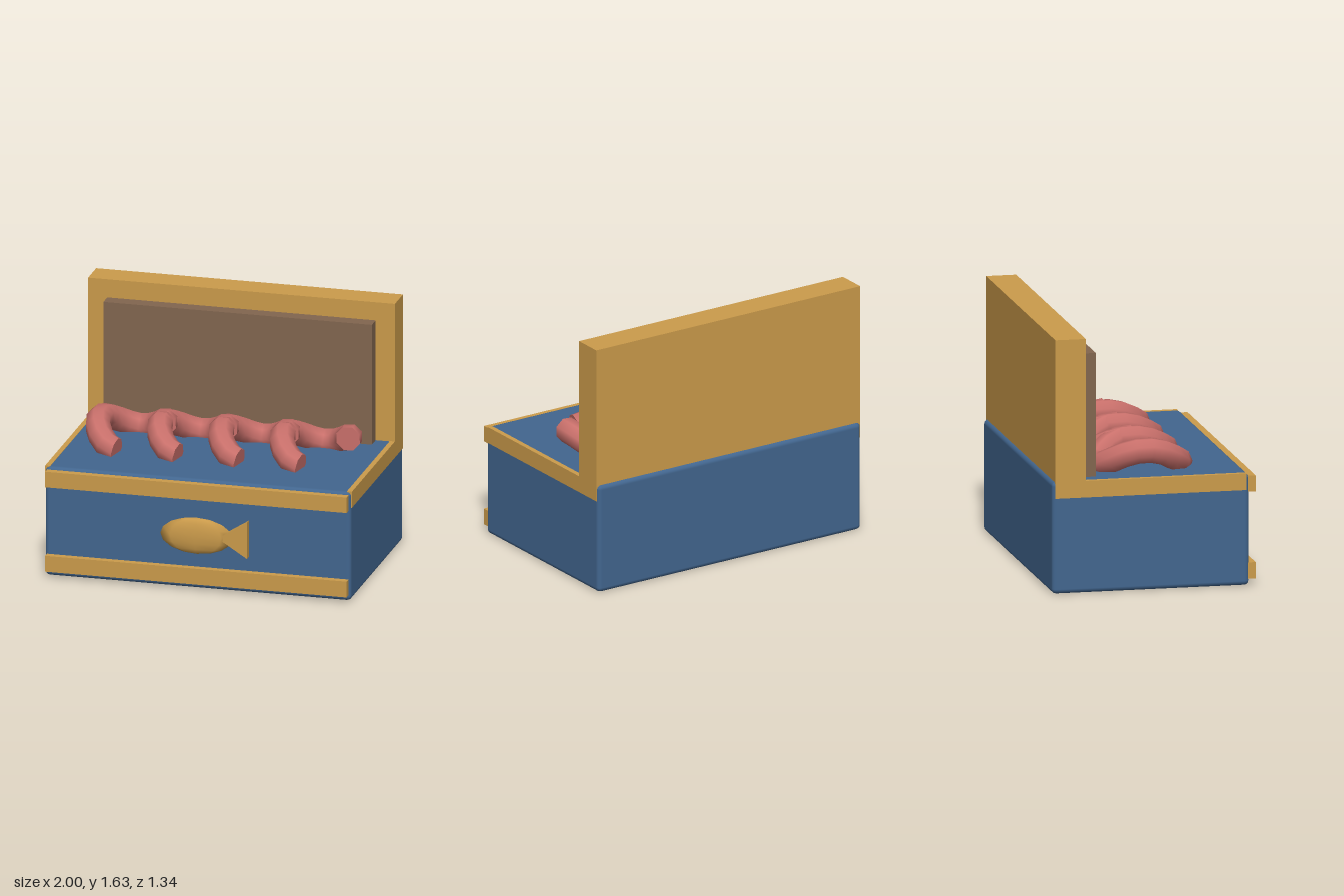
import * as THREE from 'three';
import { RoundedBoxGeometry } from 'three/addons/geometries/RoundedBoxGeometry.js';

const mat = (name, color) => {
  const m = new THREE.MeshStandardMaterial({ color });
  m.name = name;
  return m;
};

// One sausage loop: three quarters of an upright-waved ellipse
class LoopCurve extends THREE.Curve {
  getPoint(u, target = new THREE.Vector3()) {
    const t = THREE.MathUtils.degToRad(8 + u * 262);
    const s = Math.sin(t);
    return target.set(-0.21 * s, 0.74 + 0.12 * s * s, -0.035 + 0.265 * Math.cos(t));
  }
}

export function createModel() {
  const model = new THREE.Group();
  const blue = mat('blue', 0x42668f);
  const gold = mat('gold', 0xcb9b4b);
  const brown = mat('brown', 0x82664f);
  const pink = mat('pink', 0xc9706b);

  const add = (name, geometry, material, parent = model) => {
    const mesh = new THREE.Mesh(geometry, material);
    mesh.name = name;
    parent.add(mesh);
    return mesh;
  };
  // Box given by its limits on each axis
  const block = (name, x0, x1, y0, y1, z0, z1, material) => {
    const mesh = add(name, new THREE.BoxGeometry(x1 - x0, y1 - y0, z1 - z0), material);
    mesh.position.set((x0 + x1) / 2, (y0 + y1) / 2, (z0 + z1) / 2);
    return mesh;
  };

  // Chest body with softened edges
  const body = add('chestBody', new RoundedBoxGeometry(1.994, 0.72, 1.27, 2, 0.03), blue);
  body.position.set(0, 0.36, -0.04);

  // Open lid and its lining
  block('lid', -1, 1, 0.615, 1.635, -0.655, -0.46, gold);
  block('lidLining', -0.875, 0.875, 0.7, 1.515, -0.46, -0.367, brown);

  // Trim along the front and both sides
  block('upperFrontTrim', -0.983, 0.983, 0.6, 0.703, 0.585, 0.64, gold);
  block('lowerFrontTrim', -0.983, 0.983, 0.04, 0.145, 0.585, 0.64, gold);
  for (const side of [-1, 1]) {
    const inner = side * 0.967;
    block('sideTrim', Math.min(inner, side), Math.max(inner, side), 0.615, 0.722, -0.46, 0.575, gold);

    // Hinge barrels at the foot of the lid
    const hinge = add('hinge', new THREE.CylinderGeometry(0.08, 0.08, 0.24, 12), gold);
    hinge.rotation.z = Math.PI / 2;
    hinge.position.set(side * 0.42, 0.68, -0.36);
  }

  // Chain of sausage loops with closed ends
  const curve = new LoopCurve();
  const tube = new THREE.TubeGeometry(curve, 14, 0.082, 8, false);
  const frames = curve.computeFrenetFrames(14, false);
  for (let i = 0; i < 4; i++) {
    const loop = new THREE.Group();
    loop.name = 'sausageLoop';
    loop.position.x = -0.6 + 0.4 * i;
    model.add(loop);
    add('sausage', tube, pink, loop);
    for (const end of [0, 1]) {
      // Fan cap following the tube's own end ring
      const centre = curve.getPointAt(end);
      const ring = [];
      const k = end * 14;
      for (let j = 0; j <= 8; j++) {
        const a = (j / 8) * Math.PI * 2;
        ring.push(centre.clone()
          .addScaledVector(frames.normals[k], -Math.cos(a) * 0.082)
          .addScaledVector(frames.binormals[k], Math.sin(a) * 0.082));
      }
      const out = frames.tangents[k].clone().multiplyScalar(end ? 1 : -1);
      const points = [];
      for (let j = 0; j < 8; j++) {
        const p = ring[j], q = ring[j + 1];
        const n = p.clone().sub(centre).cross(q.clone().sub(centre));
        points.push(centre, ...(n.dot(out) > 0 ? [p, q] : [q, p]));
      }
      const cap = new THREE.BufferGeometry().setFromPoints(points);
      cap.computeVertexNormals();
      add('sausageEnd', cap, pink, loop);
    }
  }

  // Fish ornament on the front
  const fish = new THREE.Group();
  fish.name = 'fishOrnament';
  fish.position.set(0, 0.36, 0);
  model.add(fish);
  const fishBody = add('fishBody', new THREE.SphereGeometry(1, 8, 8), gold, fish);
  fishBody.scale.set(0.235, 0.12, 0.036);
  fishBody.position.z = 0.626;
  const tail = new THREE.Shape([
    new THREE.Vector2(0.145, 0),
    new THREE.Vector2(0.335, -0.12),
    new THREE.Vector2(0.335, 0.12),
  ]);
  const tailMesh = add('fishTail', new THREE.ExtrudeGeometry(tail, { depth: 0.056, bevelEnabled: false }), gold, fish);
  tailMesh.position.z = 0.59;

  return model;
}
